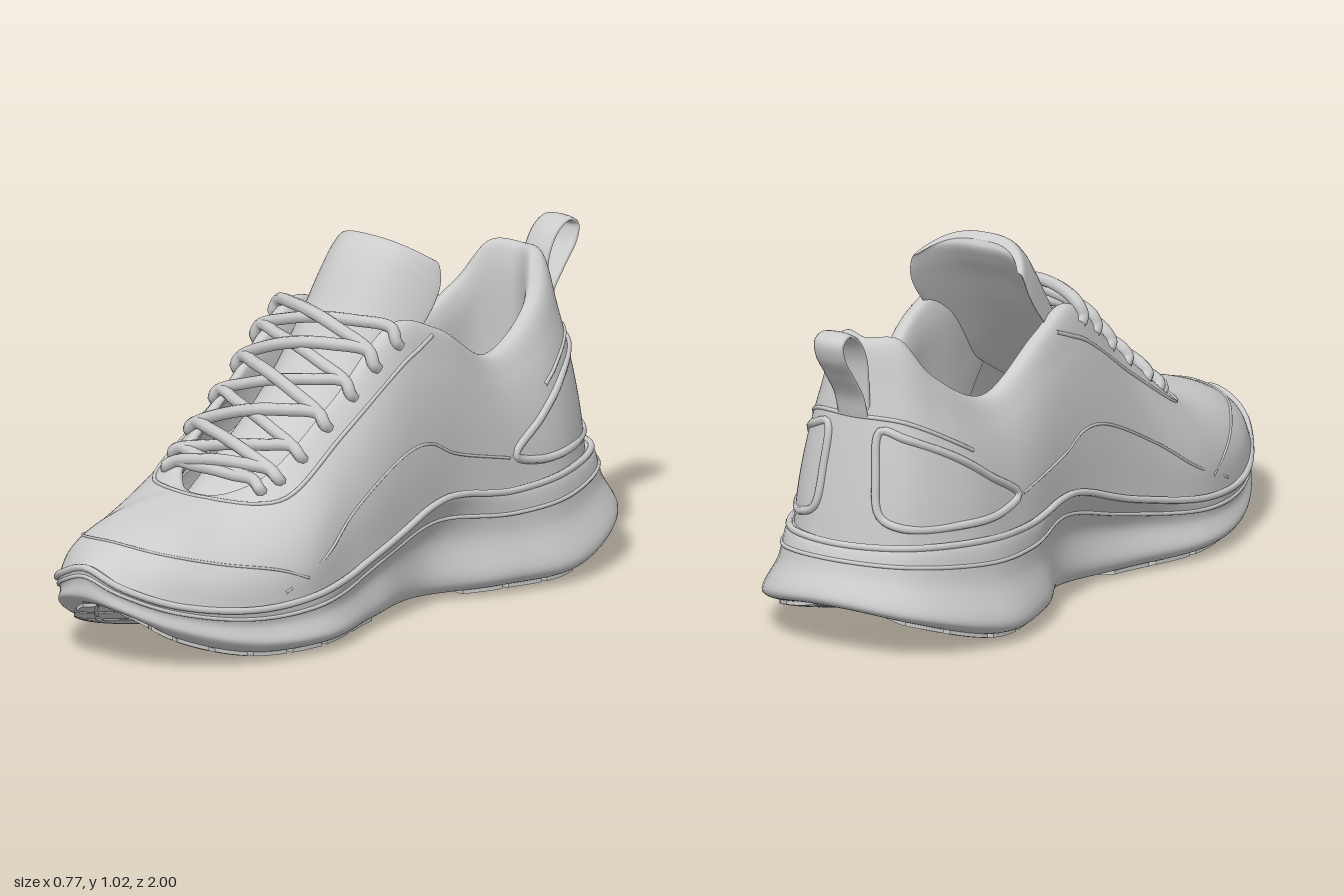
import * as THREE from 'three';

const mat = new THREE.MeshStandardMaterial({ color: 0xcccccc, side: THREE.DoubleSide });
const V = (x, y, z) => new THREE.Vector3(x, y, z);

// Columns run along the +x half from heel centre to toe centre; mirror them into full rings
function makeSurface(columns) {
  const n = columns.length, total = 2 * (n - 1);
  const rings = columns[0].map((_, level) => {
    const pts = columns.map(c => c[level].clone());
    for (let k = n - 2; k > 0; k--) pts.push(columns[k][level].clone().multiply(V(-1, 1, 1)));
    return new THREE.CatmullRomCurve3(pts, true);
  });
  const rib = t => new THREE.CatmullRomCurve3(rings.map(r => r.getPoint((((t / total) % 1) + 1) % 1)));
  const at = (t, level) => rib(t).getPoint(level / (rings.length - 1));
  return { rib, at, total };
}

// Skin over closed rings: ribAt gives the curve across the levels
function skin(count, rows, ribAt) {
  const pos = [], idx = [];
  for (let i = 0; i < count; i++) {
    const rib = ribAt(i / count);
    for (let j = 0; j <= rows; j++) pos.push(...rib.getPoint(j / rows).toArray());
  }
  for (let i = 0; i < count; i++) for (let j = 0; j < rows; j++) {
    const a = i * (rows + 1) + j, b = ((i + 1) % count) * (rows + 1) + j;
    idx.push(a, a + 1, b, b, a + 1, b + 1);
  }
  const g = new THREE.BufferGeometry();
  g.setAttribute('position', new THREE.Float32BufferAttribute(pos, 3));
  g.setIndex(idx);
  g.computeVertexNormals();
  return g;
}

// Sole station: flared edge point, then rim point; bottom, side wall and inset follow by rule
function soleColumn([x, y, z, rimX, rimY, rimZ]) {
  const edge = V(x, y, z), rim = V(rimX, rimY, rimZ);
  const bottom = V(x * .87, y - .032, z - .09 * z ** 7);
  const wall = edge.clone().lerp(rim, .5);
  wall.x *= x < rimX ? .9 : .97;
  return [V(0, bottom.y + .028, bottom.z * .95), bottom, edge, wall, rim, V(rimX * .85, rimY - .01, rimZ * .94)];
}

// Upper station: base, belly and opening edge, blended by a parabola, then a lining rolled inward
function upperColumn([bx, by, bz, mx, my, mz, ex, ey, ez], k) {
  const b = V(bx, by, bz), m = V(mx, my, mz), e = V(ex, ey, ez);
  const blend = (p, q, r) => b.clone().multiplyScalar(p).addScaledVector(m, q).addScaledVector(e, r);
  const dir = V(-ex, 0, THREE.MathUtils.clamp(ez, -.6, .4) - ez).normalize();
  const inner = (d, y) => { const q = e.clone().addScaledVector(dir, d); q.y = y; return q; };
  const lining = k < 6
    ? [inner(.03, ey + .004), inner(.048, ey - .05), inner(.04, .36 + (ey - .36) * .4), inner(.028, .35)]
    : [inner(.012, ey - .008), inner(.014, ey - .022), inner(.01, ey - .04), inner(.005, ey - .06)];
  return [b, blend(.375, .75, -.125), m, blend(-.125, .75, .375), e, ...lining];
}

export function createModel() {
  const group = new THREE.Group();
  const add = (name, geo) => {
    const m = new THREE.Mesh(geo, mat);
    m.name = name;
    group.add(m);
    return m;
  };
  const tube = (name, pts, r, closed = false, seg = 80) =>
    add(name, new THREE.TubeGeometry(new THREE.CatmullRomCurve3(pts, closed), seg, r, 8, closed));

  // Midsole, heel to toe
  const sole = makeSurface([
    [0, .155, -.995, 0, .305, -.925],
    [.24, .125, -.92, .19, .305, -.865],
    [.38, .055, -.63, .305, .29, -.62],
    [.345, .05, -.38, .31, .285, -.4],
    [.235, .046, -.13, .295, .31, -.17],
    [.3, .045, .12, .315, .235, .08],
    [.385, .045, .4, .36, .165, .4],
    [.335, .06, .65, .325, .155, .65],
    [.215, .12, .86, .215, .19, .86],
    [.1, .18, .97, .11, .245, .97],
    [0, .195, .985, 0, .285, .99],
  ].map(soleColumn));
  add('midsole', skin(160, 40, f => sole.rib(f * sole.total)));
  const bead = (name, level, r) =>
    tube(name, Array.from({ length: 60 }, (_, k) => sole.at(k / 3, level)), r, true, 200);
  bead('midsoleRim', 4, .01);
  bead('midsoleGrooveBead', 3.4, .006);

  // Outsole pads: boxes bent onto the underside, skewed into a chevron
  const pad = (t0, t1, s0, s1, skew) => {
    const g = new THREE.BoxGeometry(1, 1, 1, 4, 1, 4), p = g.attributes.position;
    for (let i = 0; i < p.count; i++) {
      const s = s0 + (s1 - s0) * (p.getZ(i) + .5);
      const q = sole.at(t0 + (t1 - t0) * (p.getX(i) + .5) + skew * s, s);
      p.setXYZ(i, q.x, q.y - .014 * (p.getY(i) + .5) + .003, q.z);
    }
    g.computeVertexNormals();
    add('outsolePad', g);
  };
  for (const [from, to] of [[.7, 3.3], [4.7, 8.8]])
    for (let t = from; t < to; t += .52)
      for (const [s0, s1] of [[.16, .54], [.6, 1.05]]) {
        pad(t, t + .44, s0, s1, .2);
        pad(20 - t - .44, 20 - t, s0, s1, -.2);
      }

  // Upper with padded collar, heel to toe
  const upper = makeSurface([
    [0, .29, -.9, 0, .58, -.86, 0, .86, -.805],
    [.17, .29, -.86, .155, .56, -.82, .095, .86, -.765],
    [.285, .28, -.68, .24, .53, -.68, .16, .745, -.675],
    [.3, .28, -.45, .268, .5, -.45, .2, .64, -.45],
    [.285, .3, -.2, .278, .57, -.21, .225, .765, -.22],
    [.3, .25, 0, .283, .57, -.03, .215, .81, -.06],
    [.335, .18, .25, .295, .44, .22, .19, .64, .18],
    [.355, .14, .5, .315, .33, .45, .165, .47, .42],
    [.275, .16, .77, .235, .31, .68, .09, .42, .51],
    [.155, .21, .93, .135, .34, .8, .045, .412, .535],
    [0, .27, .985, 0, .356, .82, 0, .41, .54],
  ].map(upperColumn));
  add('upper', skin(200, 72, f => upper.rib(f * upper.total)));

  // Insole inside the opening
  const insole = add('insole', new THREE.CylinderGeometry(1, 1, .02, 48));
  insole.scale.set(.24, 1, .45);
  insole.position.set(0, .36, -.38);

  // Seams and overlay edges, drawn on the upper in (column, level) steps
  const seam = (name, pts, r, closed = false) => tube(name, pts.map(([t, l]) => upper.at(t, l)), r, closed);
  const flip = pts => pts.map(([t, l]) => [20 - t, l]);
  const across = (name, pts, middle, r) => seam(name, [...pts, middle, ...flip(pts).reverse()], r);
  const heelPanel = [[3, .8], [2.5, 1.5], [2, 2], [1, 2.3], [.55, 2.35], [.5, 1.5], [.6, .7], [1, .5], [2, .5], [2.6, .55]];
  const sideSeam = [[7.2, .5], [6.6, .95], [6, 1.3], [5, 1.35], [4.5, 1.25], [4, .9], [3.1, .75]];
  for (const side of [pts => pts, flip]) {
    seam('heelPanelEdge', side(heelPanel), .012, true);
    seam('sideSeam', side(sideSeam), .004);
  }
  across('eyestayEdge', [[4.3, 3.7], [4.7, 3.3], [5, 3.15], [6, 3.1], [7, 3.15], [7.5, 3.35], [8, 3.6], [9, 3.75]], [10, 3.78], .006);
  across('toeCapSeam', [[6.9, .7], [7.3, 1.2], [8, 1.6], [9, 1.6]], [10, 1.45], .004);
  across('heelBand', [[2.3, 2.2], [2, 2.4], [1, 2.6]], [0, 2.55], .006);

  // Tongue: cupped, padded cross-sections [y, z, half width, bend, half thickness]
  const tongueRows = [
    [.33, .6, .08, .02, .012], [.385, .48, .12, .04, .02], [.61, .14, .18, .08, .025], [.78, -.01, .196, .11, .03],
    [.91, -.1, .2, .14, .038], [.965, -.145, .195, .13, .037], [.998, -.178, .18, .1, .024], [1, -.188, .165, .09, 0],
  ];
  add('tongue', skin(64, 48, f => {
    const c = Math.cos(f * Math.PI * 2), s = Math.sin(f * Math.PI * 2);
    return new THREE.CatmullRomCurve3(tongueRows.map(([y, z, w, bend, h]) => {
      const d = h * s, fall = bend * Math.abs(c) ** 3;
      return V(w * c, y + .74 * d - .55 * fall, z + .67 * d - .8 * fall);
    }));
  }));

  // Laces: bowed rows crossing from each eyelet to the next one up
  const raise = (p, d) => p.clone().add(V(0, .74 * d, .67 * d));
  const lace = (t0, t1, lift, r) => {
    const [a, b] = [t0, 20 - t1].map(t => ({ hole: upper.at(t, 3.6), lip: upper.at(t, 3.95) }));
    const over = f => raise(a.lip.clone().lerp(b.lip, f), lift * (f === .5 ? 1 : .8));
    const end = e => [raise(e.hole, -.014), raise(e.hole, .008), raise(e.lip, .014)];
    tube('lace', [...end(a), over(.25), over(.5), over(.75), ...end(b).reverse()], r, false, 48);
  };
  const eyelets = [7.3, 6.95, 6.6, 6.2, 5.8, 5.45, 5.1];
  lace(eyelets[0], eyelets[0], .018, .017);
  for (let k = 0; k < eyelets.length - 1; k++) {
    const pair = [eyelets[k], eyelets[k + 1]], lift = .02 + k * .008;
    if (k % 2 === 0) pair.reverse();
    lace(pair[0], pair[1], lift + .018, .018);
    lace(pair[1], pair[0], lift, .017);
  }

  // Heel pull loop: a tube flattened into a ribbon
  const loop = [[.66, -.835], [.75, -.838], [.83, -.85], [.89, -.888], [.912, -.935], [.895, -.968], [.85, -.96], [.79, -.915], [.72, -.865], [.66, -.845]];
  const ribbon = new THREE.TubeGeometry(new THREE.CatmullRomCurve3(loop.map(([y, z]) => V(0, y, z))), 64, .009, 12);
  ribbon.scale(5.5, 1, 1);
  add('heelPullLoop', ribbon);

  // Rest the shoe on the ground
  group.position.y = -new THREE.Box3().setFromObject(group, true).min.y;
  return group;
}
